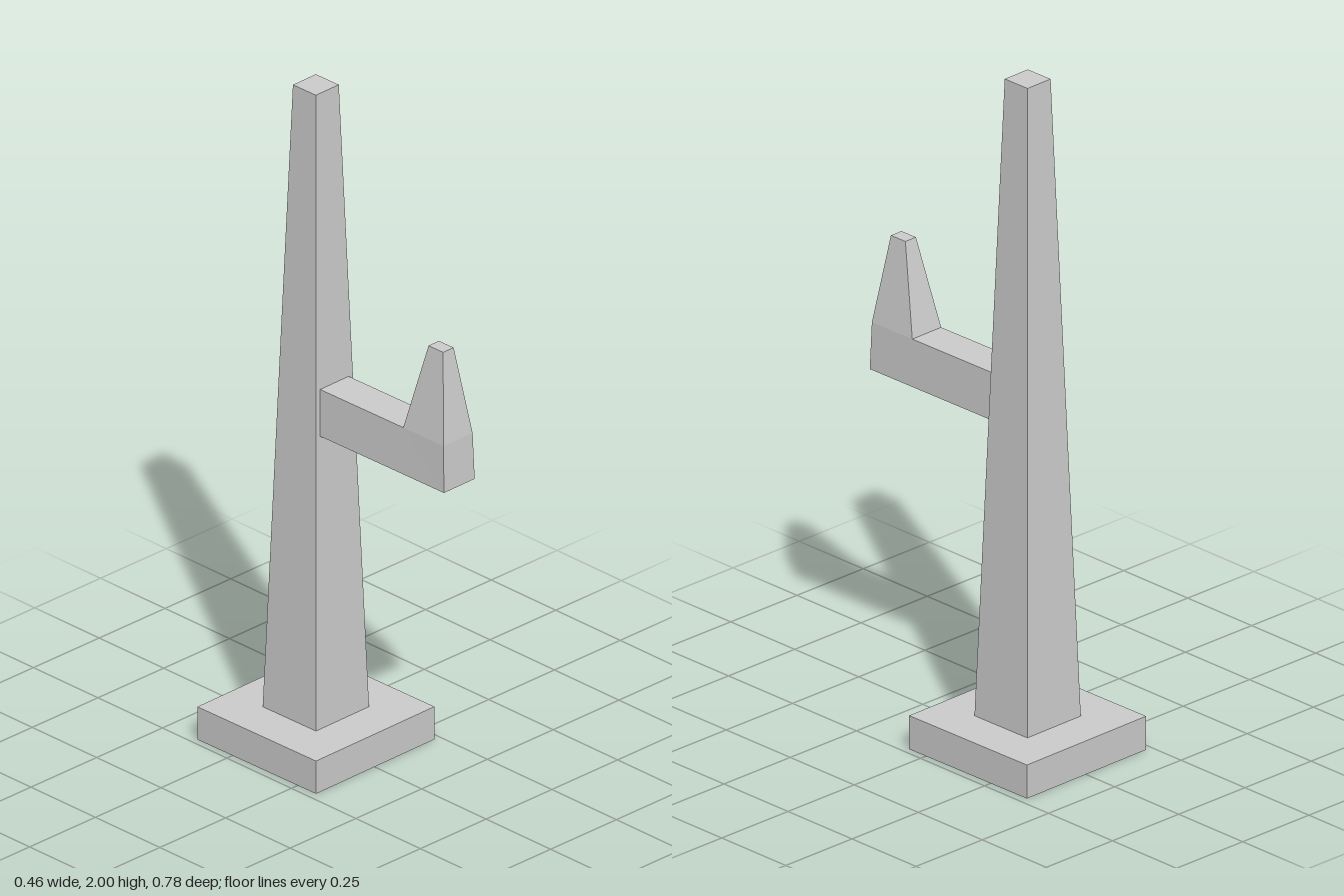
import * as THREE from 'three';

const material = new THREE.MeshStandardMaterial({ color: 0xcccccc, flatShading: true, side: THREE.DoubleSide });

// Skins four-cornered rings into a tube, optionally closing the last ring
function loft(name, rings, cap) {
  const points = [];
  const quad = (a, b, c, d) => points.push(...a, ...b, ...c, ...a, ...c, ...d);
  for (let r = 0; r < rings.length - 1; r++) {
    const p = rings[r], q = rings[r + 1];
    for (let i = 0; i < 4; i++) {
      const j = (i + 1) % 4;
      quad(p[i], p[j], q[j], q[i]);
    }
  }
  if (cap) quad(...rings[rings.length - 1]);
  const geometry = new THREE.BufferGeometry();
  geometry.setAttribute('position', new THREE.Float32BufferAttribute(points, 3));
  geometry.computeVertexNormals();
  const mesh = new THREE.Mesh(geometry, material);
  mesh.name = name;
  return mesh;
}

// Horizontal square ring of half width h at height y
const square = (h, y) => [[-h, y, h], [h, y, h], [h, y, -h], [-h, y, -h]];

// Ring across the arm: outer edge (half width, y, z), then inner edge
const band = (w0, y0, z0, w1, y1, z1) => [[-w0, y0, z0], [w0, y0, z0], [w1, y1, z1], [-w1, y1, z1]];

export function createModel() {
  const model = new THREE.Group();
  model.name = 'postWithHook';

  // Everything shares the post's axis, turned very slightly
  const post = new THREE.Group();
  post.name = 'post';
  post.position.z = -0.16;
  post.rotation.y = 0.011;
  model.add(post);

  // Hollow plinth, open below and into the shaft
  post.add(loft('base', [square(0.2275, 0), square(0.2275, 0.1), square(0.102, 0.1)], false));

  // Tapered shaft
  post.add(loft('shaft', [square(0.102, 0.1), square(0.044, 2)], true));

  // Arm leaving the shaft and bending up into a tapered hook
  post.add(loft('hookArm', [
    band(0.059, 0.975, 0.073, 0.055, 1.115, 0.069),
    band(0.059, 0.975, 0.55, 0.055, 1.115, 0.39),
    band(0.056, 1.115, 0.545, 0.055, 1.115, 0.39),
    band(0.02, 1.375, 0.508, 0.02, 1.375, 0.452),
  ], true));

  return model;
}
